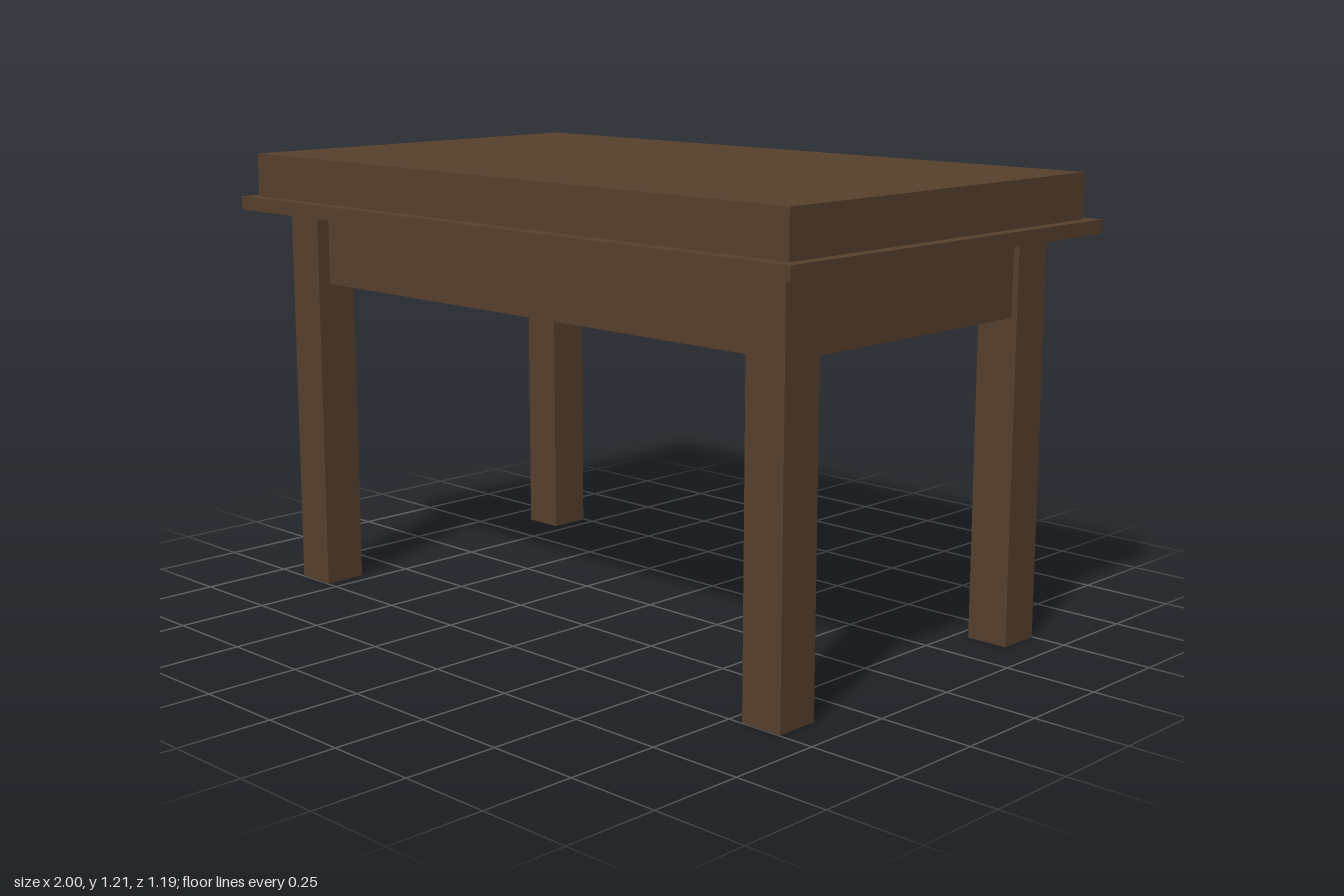
import * as THREE from 'three';

export function createModel() {
  const table = new THREE.Group();
  table.name = 'table';
  const wood = new THREE.MeshStandardMaterial({ color: 0x56402c });
  wood.name = 'dark wood';

  // Box given by its centre in x and z, its size and its bottom and top heights
  const addBox = (name, x, z, width, depth, bottom, top) => {
    const mesh = new THREE.Mesh(new THREE.BoxGeometry(width, top - bottom, depth), wood);
    mesh.name = name;
    mesh.position.set(x, (bottom + top) / 2, z);
    table.add(mesh);
  };

  const apronBottom = 0.853, rimBottom = 1.054, rimTop = 1.09, slabTop = 1.208;

  // Top: thin overhanging rim with a thick slab on it
  addBox('rim', 0, 0, 2, 1.188, rimBottom, rimTop);
  addBox('topSlab', 0, 0, 1.932, 1.12, rimTop, slabTop);

  for (const side of [-1, 1]) {
    // Rails between the legs, set back from the outer leg faces
    addBox(side > 0 ? 'frontApron' : 'backApron', 0, side * 0.43, 1.58, 0.06, apronBottom, rimBottom);
    addBox(side > 0 ? 'leftApron' : 'rightApron', side * 0.848, 0, 0.08, 0.76, apronBottom, rimBottom);

    // Square legs
    for (const end of [-1, 1]) {
      const name = (end > 0 ? 'front' : 'back') + (side > 0 ? 'Left' : 'Right') + 'Leg';
      addBox(name, side * 0.846, end * 0.438, 0.116, 0.118, 0, rimBottom);
    }
  }
  return table;
}
